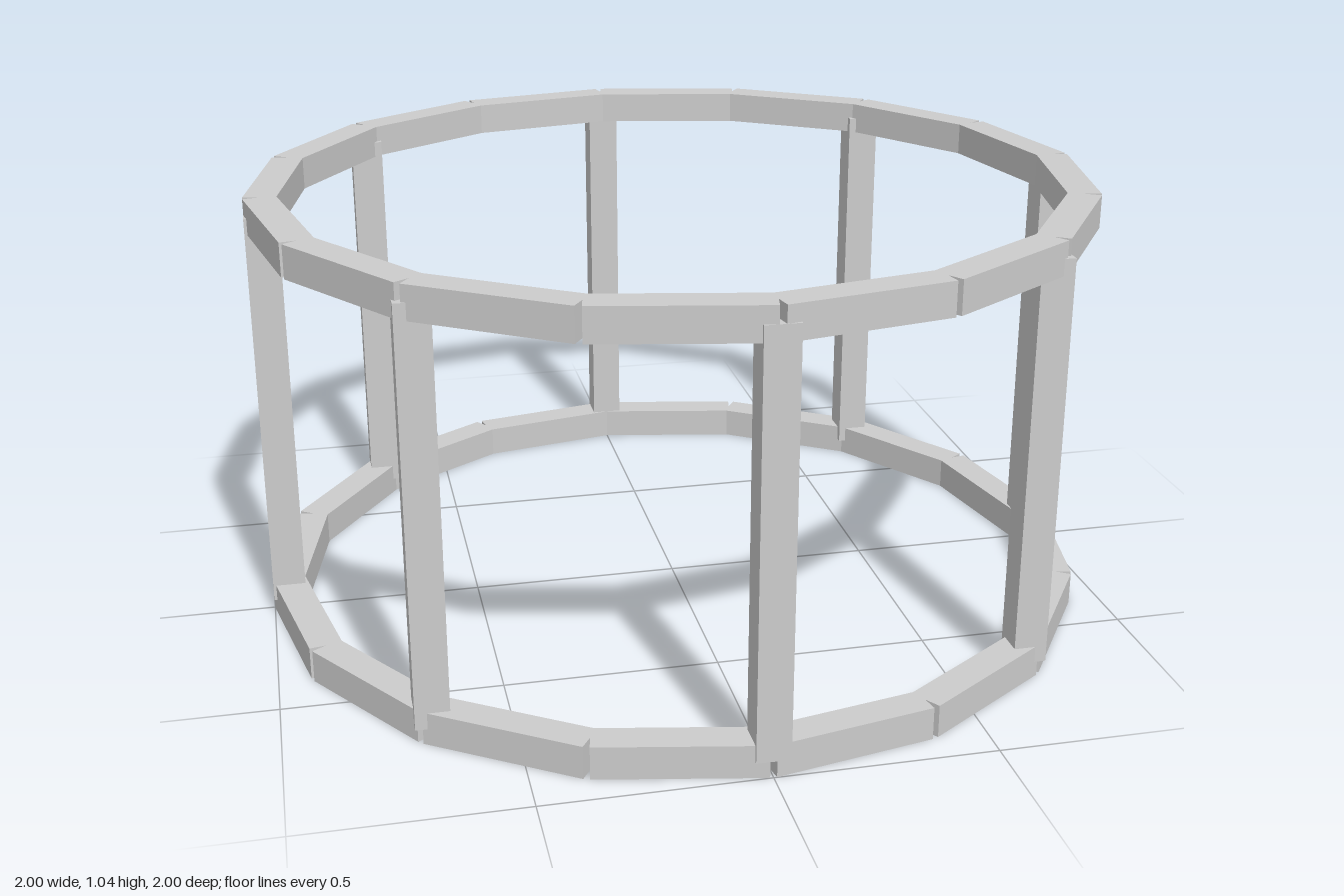
import * as THREE from 'three';

const SIDES = 16;          // beams per ring
const POSTS = 8;
const RADIUS = 0.9615;     // circle through the joints
const BEAM = 0.0769;       // square section of every beam
const HEIGHT = 0.9615;     // distance between ring centre lines

export function createModel() {
  const model = new THREE.Group();
  model.name = 'roundFrame';
  const material = new THREE.MeshStandardMaterial({ color: 0xcccccc, flatShading: true });

  // Rings of straight beams, each spanning from joint to joint
  const half = Math.PI / SIDES;
  const beamGeometry = new THREE.BoxGeometry(2 * RADIUS * Math.sin(half), BEAM, BEAM);
  const apothem = RADIUS * Math.cos(half);
  for (const [name, y] of [['lowerRing', BEAM / 2], ['upperRing', BEAM / 2 + HEIGHT]]) {
    const ring = new THREE.Group();
    ring.name = name;
    for (let i = 0; i < SIDES; i++) {
      const a = (2 * i + 1) * half;
      const beam = new THREE.Mesh(beamGeometry, material);
      beam.name = 'ringBeam';
      beam.position.set(apothem * Math.sin(a), y, apothem * Math.cos(a));
      beam.rotation.y = a;
      ring.add(beam);
    }
    model.add(ring);
  }

  // Upright posts at every second joint, all squared to the axes
  const postGeometry = new THREE.BoxGeometry(BEAM, HEIGHT, BEAM);
  const posts = new THREE.Group();
  posts.name = 'posts';
  for (let i = 0; i < POSTS; i++) {
    const a = (i / POSTS) * Math.PI * 2;
    const post = new THREE.Mesh(postGeometry, material);
    post.name = 'post';
    post.position.set(RADIUS * Math.sin(a), (BEAM + HEIGHT) / 2, RADIUS * Math.cos(a));
    posts.add(post);
  }
  model.add(posts);
  return model;
}
